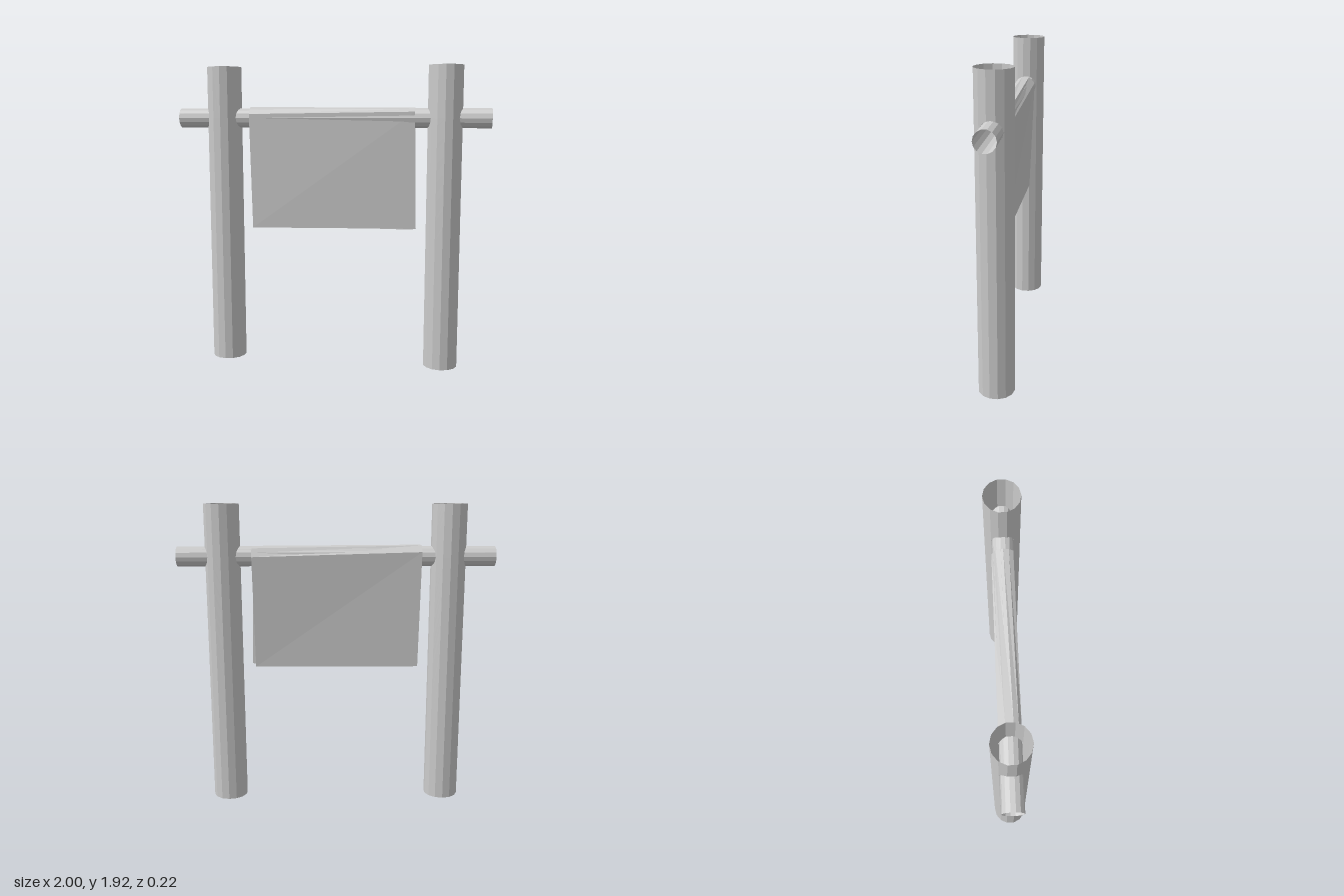
import * as THREE from 'three';

const SIDES = 14, POST_R = 0.11, POST_H = 1.925, BAR_R = 0.063, BAR_Y = 1.6;

const material = new THREE.MeshStandardMaterial({
  color: 0xcccccc, flatShading: true, side: THREE.DoubleSide,
});

function part(geometry, name) {
  const mesh = new THREE.Mesh(geometry, material);
  mesh.name = name;
  return mesh;
}

// Half of an open faceted post; its inner rim is cut to clear the round bar hole
function postHalf(isUpper) {
  const geo = new THREE.CylinderGeometry(POST_R, POST_R, 1, SIDES * 8, 1, true);
  const pos = geo.attributes.position;
  const step = (Math.PI * 2) / SIDES;
  for (let i = 0; i < pos.count; i++) {
    // pull the fine divisions onto the flat sides of the polygon
    const angle = Math.atan2(pos.getX(i), pos.getZ(i)) + Math.PI * 2;
    const local = (angle % step) - step / 2;
    const r = POST_R * Math.cos(step / 2) / Math.cos(local);
    const z = r * Math.cos(angle);
    const rim = Math.sqrt(Math.max(0, BAR_R ** 2 - z ** 2));
    const top = pos.getY(i) > 0;
    const y = isUpper
      ? (top ? POST_H : BAR_Y + rim)
      : (top ? BAR_Y - rim : 0);
    pos.setXYZ(i, r * Math.sin(angle), y, z);
  }
  geo.computeVertexNormals();
  return geo;
}

function post(x, name) {
  const group = new THREE.Group();
  group.name = name;
  group.add(part(postHalf(false), 'postLower'), part(postHalf(true), 'postUpper'));
  group.position.x = x;
  return group;
}

// Cloth draped over the bar: two slightly different end sections joined by strips
function clothGeometry() {
  const rightEnd = [ // viewer's left, -x
    [-0.52, 0.885, 0.04], [-0.53, 1.625, 0.064], [-0.53, 1.655, 0.048], [-0.53, 1.67, 0.02],
    [-0.535, 1.668, -0.025], [-0.535, 1.63, -0.065], [-0.525, 0.89, -0.035],
  ];
  const leftEnd = [
    [0.545, 0.9, 0.02], [0.53, 1.64, 0.06], [0.53, 1.658, 0.034], [0.53, 1.665, 0],
    [0.53, 1.653, -0.045], [0.53, 1.6, -0.07], [0.522, 0.887, -0.02],
  ];
  const vertices = [], index = [];
  rightEnd.forEach((p, i) => {
    vertices.push(...p, ...leftEnd[i]);
    if (i > 0) {
      const a = (i - 1) * 2;
      index.push(a, a + 1, a + 3, a, a + 3, a + 2);
    }
  });
  const geo = new THREE.BufferGeometry();
  geo.setAttribute('position', new THREE.Float32BufferAttribute(vertices, 3));
  geo.setIndex(index);
  geo.computeVertexNormals();
  return geo;
}

export function createModel() {
  const model = new THREE.Group();
  model.name = 'hangingBanner';

  // Upright posts
  model.add(post(-0.707, 'rightPost'), post(0.715, 'leftPost'));

  // Hollow crossbar
  const barGeo = new THREE.CylinderGeometry(BAR_R, BAR_R, 2, SIDES, 1, true);
  barGeo.rotateZ(Math.PI / 2);
  const bar = part(barGeo, 'crossbar');
  bar.position.y = BAR_Y;
  model.add(bar);

  // Draped cloth
  model.add(part(clothGeometry(), 'cloth'));
  return model;
}
